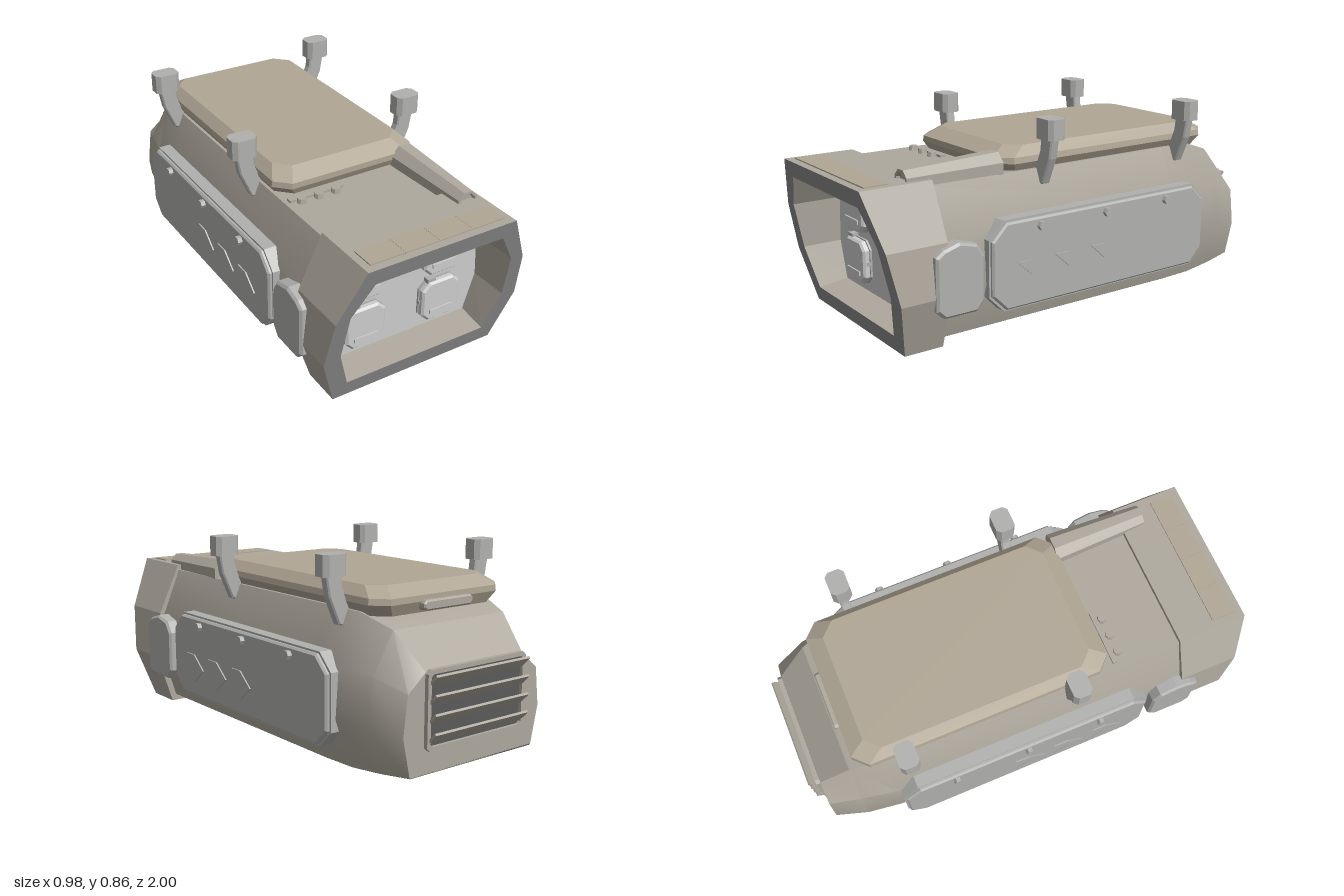
import * as THREE from 'three';
import { toCreasedNormals } from 'three/addons/utils/BufferGeometryUtils.js';

const paint = (color, flatShading = true) => new THREE.MeshStandardMaterial({ color, flatShading });
const hullPaint = paint(0xaea89d), hullSmooth = paint(0xaea89d, false), roofPaint = paint(0xb0a695);
const panelPaint = paint(0xb0b0ae), tubePaint = paint(0xc4c4c4), rimPaint = paint(0x888888);
const darkPaint = paint(0x5a5a5a);

// Skin between equal-length rings of [x, y, z]; caps are optional fans.
function loft(rings, capStart = true, capEnd = true) {
  const n = rings[0].length, index = [];
  rings.slice(1).forEach((_, r) => {
    for (let i = 0; i < n; i++) {
      const a = r * n + i, b = r * n + (i + 1) % n;
      index.push(a, b, b + n, a, b + n, a + n);
    }
  });
  const last = (rings.length - 1) * n;
  for (let i = 1; i < n - 1; i++) {
    if (capStart) index.push(0, i + 1, i);
    if (capEnd) index.push(last, last + i, last + i + 1);
  }
  const g = new THREE.BufferGeometry();
  g.setAttribute('position', new THREE.Float32BufferAttribute(rings.flat(2), 3));
  g.setIndex(index);
  g.computeVertexNormals();
  return g;
}

// Symmetric cross-section from its +x half, listed bottom to top.
const section = (half, zAt) =>
  [...half, ...half.map(([x, y]) => [-x, y]).reverse()].map(([x, y]) => [x, y, zAt(y)]);

// Rectangle with cut corners, counter-clockwise.
const cutRect = (w, h, c, cx = 0, cy = 0) => [
  [w - c, -h], [w, c - h], [w, h - c], [w - c, h],
  [c - w, h], [-w, h - c], [-w, c - h], [c - w, -h]].map(([x, y]) => [x + cx, y + cy]);

// Extruded outline, optionally bevelled inside its own outline.
function plate(points, depth, bevel = 0) {
  const shape = new THREE.Shape(points.map(([x, y]) => new THREE.Vector2(x, y)));
  const g = new THREE.ExtrudeGeometry(shape, {
    depth: depth - 2 * bevel, bevelEnabled: bevel > 0, bevelSize: bevel,
    bevelThickness: bevel, bevelOffset: -bevel, bevelSegments: 1 });
  return g.translate(0, 0, bevel);
}

// Plate on a flank, outline given as [z, y], spanning |x| from x0 to x1.
function sidePlate(side, points, x0, x1, bevel = 0) {
  const pts = points.map(([z, y]) => [-side * z, y]);
  return plate(pts, x1 - x0, bevel).translate(0, 0, x0).rotateY(side * Math.PI / 2);
}

export function createModel() {
  const model = new THREE.Group();
  model.name = 'launcherPod';
  const add = (name, material, geometry, x = 0, y = 0, z = 0) => {
    const mesh = new THREE.Mesh(geometry, material);
    mesh.name = name;
    mesh.position.set(x, y, z);
    model.add(mesh);
    return mesh;
  };
  const box = (name, material, w, h, d, x, y, z) =>
    add(name, material, new THREE.BoxGeometry(w, h, d), x, y, z);

  // Main hull, tapering towards the rear, with a dark belly
  const full = [[0.37, 0.03], [0.435, 0.23], [0.422, 0.43], [0.335, 0.64]];
  const hull = [
    [[[0.33, 0.06], [0.365, 0.22], [0.345, 0.38], [0.26, 0.45]], -0.95],
    [[[0.352, 0.045], [0.41, 0.225], [0.39, 0.425], [0.295, 0.588]], -0.81],
    [[[0.367, 0.033], [0.432, 0.23], [0.418, 0.43], [0.33, 0.638]], -0.66],
    [full, -0.5], [full, 0.72]];
  add('hull', hullSmooth, toCreasedNormals(loft(hull.map(([h, z]) => section(h, () => z))), 0.45));
  add('belly', darkPaint, loft(hull.map(([[[x, y]], z]) =>
    section([[x - 0.003, y - 0.002], [x - 0.003, y + 0.003]], () => Math.min(z, 0.7)))));

  // Front collar: outer shell, raked rim, recess and bulkhead
  const rim = [[0.39, 0], [0.465, 0.23], [0.443, 0.44], [0.34, 0.663]];
  const mouth = [[0.335, 0.072], [0.392, 0.25], [0.38, 0.45], [0.295, 0.59]];
  const deep = [[0.34, 0.086], [0.391, 0.25], [0.379, 0.45], [0.3, 0.577]];
  const rake = y => 0.86 + 0.211 * y;
  const rimRing = section(rim, rake), mouthRing = section(mouth, rake);
  add('frontCollar', hullPaint, loft([section(rim, () => 0.69), rimRing], true, false));
  add('collarRim', rimPaint, loft([rimRing, mouthRing], false, false));
  add('collarRecess', hullPaint, loft([mouthRing, section(deep, () => 0.74)], false, false));
  add('bulkhead', tubePaint, plate(section(deep, () => 0), 0.01), 0, 0, 0.731);

  // Four tube covers with hinge, label bar and side clips
  for (const x of [-0.185, 0.185]) for (const y of [0.445, 0.22]) {
    add('tubeSeat', panelPaint, plate(cutRect(0.095, 0.095, 0.035), 0.015), x, y, 0.735);
    add('tubeCover', tubePaint, plate(cutRect(0.093, 0.093, 0.034), 0.035, 0.009), x, y, 0.745);
    box('coverHinge', panelPaint, 0.04, 0.02, 0.03, x - 0.045, y + 0.097, 0.755);
    box('coverBar', tubePaint, 0.114, 0.018, 0.01, x, y - 0.047, 0.781);
    for (const s of [-1, 1]) box('coverClip', panelPaint, 0.006, 0.015, 0.015, x + s * 0.095, y, 0.755);
  }

  // Roof hatch: cut-corner rings stacked upwards, undercut at its foot
  const hatchRing = ([y, ix, iz]) =>
    cutRect(0.342 - ix, 0.575 - iz, 0.06).map(([x, v]) => [x, y, -0.205 - v]);
  add('roofHatch', roofPaint, loft([[0.625, 0.03, 0.025], [0.672, 0, 0],
    [0.697, 0.004, 0], [0.737, 0.042, 0.07]].map(hatchRing)));
  add('hatchLatch', hullPaint, plate(cutRect(0.13, 0.02, 0.012), 0.05, 0.006), 0, 0.658, -0.803);

  // Sighting tube beside the hatch, hollow at its front end
  const tube = [[0, 0], [0.07, 0], [0.05, 0.43], [0.038, 0.43], [0.033, 0.415], [0, 0.415]];
  add('sightTube', hullPaint, new THREE.LatheGeometry(tube.map(p => new THREE.Vector2(...p)), 8)
    .rotateY(Math.PI / 8).rotateX(Math.PI / 2), 0.272, 0.658, 0.36);

  // Deck rail with three knobs, and the segmented strip on the collar
  box('deckRail', hullPaint, 0.25, 0.02, 0.025, -0.19, 0.64, 0.4);
  for (const x of [-0.27, -0.19, -0.11])
    add('deckKnob', hullPaint, new THREE.CylinderGeometry(0.018, 0.022, 0.024, 8), x, 0.648, 0.427);
  for (let i = 0; i < 4; i++)
    box('collarStrip', roofPaint, 0.154, 0.01, 0.105, -0.2325 + i * 0.155, 0.663, 0.913);

  // Rear grille: frame, dark backing and tilted slats
  const frame = new THREE.Shape(cutRect(0.262, 0.155, 0.015).map(p => new THREE.Vector2(...p)));
  frame.holes.push(new THREE.Path(cutRect(0.245, 0.138, 0.01).map(p => new THREE.Vector2(...p))));
  add('grilleFrame', hullPaint,
    new THREE.ExtrudeGeometry(frame, { depth: 0.02, bevelEnabled: false }), 0, 0.305, -0.968);
  box('grilleBack', darkPaint, 0.495, 0.28, 0.01, 0, 0.305, -0.949);
  for (let i = 0; i < 4; i++)
    box('grilleSlat', hullPaint, 0.5, 0.01, 0.058, 0, 0.203 + i * 0.073, -0.977).rotation.x = 0.8;

  for (const side of [-1, 1]) {
    // Long flank panel with bolts
    add('flankPanelBase', panelPaint, sidePlate(side, cutRect(0.578, 0.188, 0.07, -0.065, 0.298), 0.4, 0.455));
    add('flankPanel', panelPaint, sidePlate(side, cutRect(0.57, 0.18, 0.068, -0.065, 0.298), 0.44, 0.472, 0.008));
    for (const z of [0.275, -0.065, -0.4])
      add('panelBolt', panelPaint, new THREE.CylinderGeometry(0.019, 0.019, 0.04, 6).rotateZ(Math.PI / 2),
        side * 0.472, 0.445, z);

    // Raised arrows, pointing aft on one flank and forward on the other
    for (const z of [0.32, 0.133, -0.055]) {
      const arrow = [[-0.07, 0.063], [-0.005, 0.063], [0.07, 0], [-0.005, -0.063], [-0.07, -0.063], [0, 0]];
      add('flankArrow', panelPaint,
        sidePlate(side, arrow.map(([u, v]) => [z - side * u, 0.247 + v]), 0.465, 0.478));
    }

    // Short cover straddling the collar joint
    const cover = [[0.76, 0.395], [0.725, 0.42], [0.655, 0.44], [0.575, 0.42], [0.543, 0.37],
      [0.543, 0.19], [0.578, 0.147], [0.725, 0.147], [0.76, 0.18]];
    add('jointCover', panelPaint, sidePlate(side, cover, 0.4, 0.476, 0.01));

    // Bent posts with block heads
    for (const z of [0.175, -0.57]) {
      const stem = [[0.33, 0.57], [0.372, 0.58], [0.42, 0.69], [0.436, 0.78],
        [0.362, 0.78], [0.355, 0.72], [0.325, 0.645]].map(([x, y]) => [side * x, y]);
      add('postStem', panelPaint, plate(stem, 0.042, 0.006), 0, 0, z - 0.021);
      add('postHead', panelPaint,
        plate(cutRect(0.056, 0.042, 0.018), 0.085).rotateX(-Math.PI / 2), side * 0.4, 0.771, z);
    }
  }
  return model;
}
